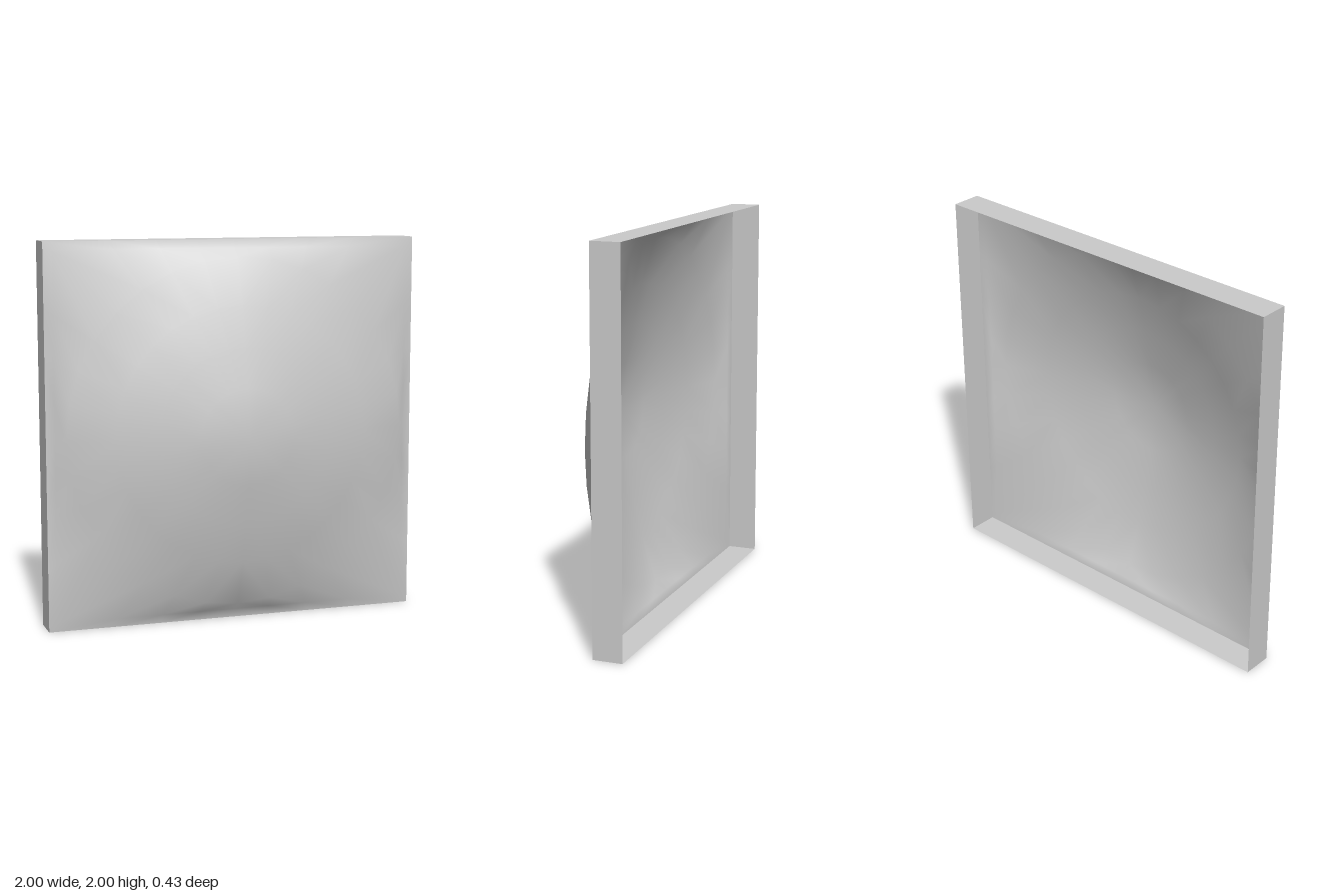
import * as THREE from 'three';

const material = new THREE.MeshStandardMaterial({ color: 0xcccccc, side: THREE.DoubleSide });
const SEGMENTS = 32;
const FRAME_BACK = -0.215, FRAME_FRONT = -0.06;

// Dome sections from the peak outwards: [radius or half width, z, square?]
const SECTIONS = [
  [0.25, 0.18, false],
  [0.46, 0.137, false],
  [0.67, 0.088, false],
  [0.91, 0.01, false],
  [0.955, -0.05, true],
  [1, FRAME_FRONT, true],
];

// Bulged panel: round sections that blend into a square rim
function domeGeometry() {
  const points = [0, 0, 0.215];
  const index = [];
  for (const [size, z, square] of SECTIONS) {
    for (let i = 0; i < SEGMENTS; i++) {
      const a = (i / SEGMENTS) * Math.PI * 2;
      const c = Math.cos(a), s = Math.sin(a);
      const r = square ? size / Math.max(Math.abs(c), Math.abs(s)) : size;
      points.push(r * c, r * s, z);
    }
  }
  for (let i = 0; i < SEGMENTS; i++) {
    const j = (i + 1) % SEGMENTS;
    index.push(0, 1 + i, 1 + j);
    for (let k = 0; k < SECTIONS.length - 1; k++) {
      const a = 1 + k * SEGMENTS, b = a + SEGMENTS;
      // Mirror the diagonals in alternate eighths to keep the corners symmetric
      if (Math.floor(i / (SEGMENTS / 8)) % 2 === 0) {
        index.push(a + i, b + i, b + j, a + i, b + j, a + j);
      } else {
        index.push(a + i, b + i, a + j, b + i, b + j, a + j);
      }
    }
  }
  const geometry = new THREE.BufferGeometry();
  geometry.setAttribute('position', new THREE.Float32BufferAttribute(points, 3));
  geometry.setIndex(index);
  geometry.computeVertexNormals();
  return geometry;
}

export function createModel() {
  const model = new THREE.Group();
  model.name = 'bulgedPanel';

  const dome = new THREE.Mesh(domeGeometry(), material);
  dome.name = 'domedFront';
  dome.position.y = 1;
  model.add(dome);

  // Four thin walls, open at the back
  const frame = new THREE.Group();
  frame.name = 'frame';
  frame.position.y = 1;
  const depth = FRAME_FRONT - FRAME_BACK;
  ['topWall', 'rightWall', 'bottomWall', 'leftWall'].forEach((name, i) => {
    const geometry = new THREE.PlaneGeometry(2, depth);
    geometry.rotateX(-Math.PI / 2);
    geometry.translate(0, 1, (FRAME_FRONT + FRAME_BACK) / 2);
    geometry.rotateZ((i * Math.PI) / 2);
    const wall = new THREE.Mesh(geometry, material);
    wall.name = ['topWall', 'rightWall', 'bottomWall', 'leftWall'][i];
    frame.add(wall);
  });
  model.add(frame);

  return model;
}
